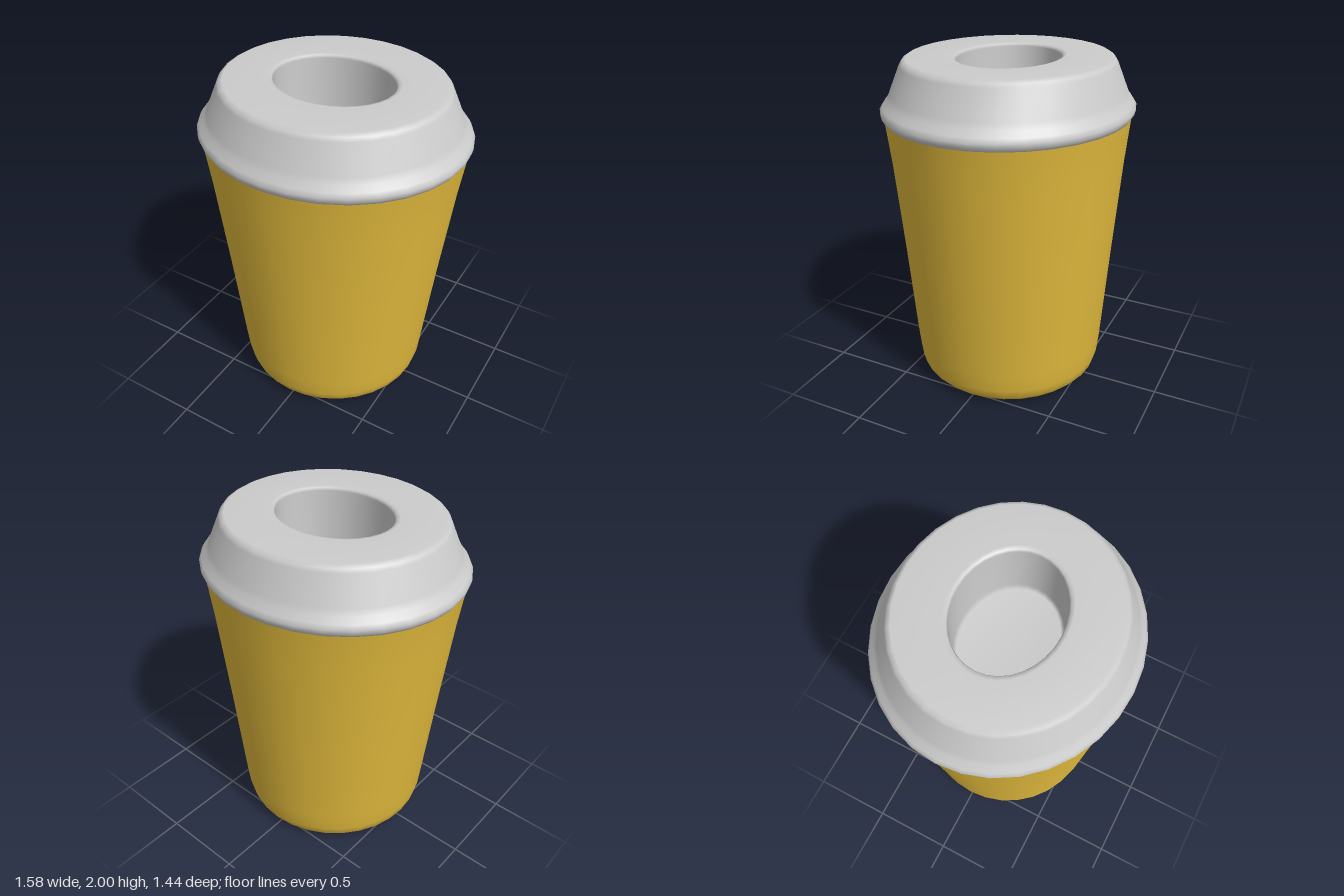
import * as THREE from 'three';

const SIDES = 32;

// Smooth skin over oval rings [radiusX, radiusZ, y], listed so the surface faces outward
function ovalLoft(name, rings, color) {
  const positions = [];
  const index = [];
  for (const [rx, rz, y] of rings) {
    for (let i = 0; i < SIDES; i++) {
      const a = (i / SIDES) * Math.PI * 2;
      positions.push(rx * Math.cos(a), y, rz * Math.sin(a));
    }
  }
  for (let r = 0; r < rings.length - 1; r++) {
    for (let i = 0; i < SIDES; i++) {
      const j = (i + 1) % SIDES;
      const a = r * SIDES + i, b = r * SIDES + j;
      const c = a + SIDES, d = b + SIDES;
      if (rings[r][0] > 0) index.push(a, c, b);
      if (rings[r + 1][0] > 0) index.push(b, c, d);
    }
  }
  const geometry = new THREE.BufferGeometry();
  geometry.setAttribute('position', new THREE.Float32BufferAttribute(positions, 3));
  geometry.setIndex(index);
  geometry.computeVertexNormals();
  const mesh = new THREE.Mesh(geometry, new THREE.MeshStandardMaterial({ color }));
  mesh.name = name;
  return mesh;
}

export function createModel() {
  const group = new THREE.Group();
  group.name = 'ovalBin';

  // Tapered body: round at the foot, oval at the mouth
  group.add(ovalLoft('body', [
    [0, 0, 0],
    [0.35, 0.35, 0],
    [0.50, 0.50, 0.01],
    [0.54, 0.535, 0.022],
    [0.57, 0.565, 0.055],
    [0.585, 0.58, 0.11],
    [0.597, 0.592, 0.22],
    [0.665, 0.635, 0.85],
    [0.732, 0.677, 1.42],
    [0.755, 0.692, 1.58],
    [0.77, 0.702, 1.68],
  ], 0xe0b93c));

  // Lid: flared rim, sloped shoulder, flat top and a deep oval opening
  group.add(ovalLoft('lid', [
    [0.70, 0.63, 1.68],
    [0.755, 0.69, 1.672],
    [0.772, 0.705, 1.675],
    [0.785, 0.716, 1.695],
    [0.79, 0.722, 1.72],
    [0.775, 0.708, 1.745],
    [0.745, 0.684, 1.775],
    [0.725, 0.668, 1.81],
    [0.657, 0.606, 1.965],
    [0.645, 0.594, 1.985],
    [0.62, 0.572, 2],
    [0.38, 0.315, 2],
    [0.358, 0.296, 1.995],
    [0.35, 0.288, 1.98],
    [0.35, 0.288, 1.63],
    [0.33, 0.27, 1.61],
    [0, 0, 1.61],
  ], 0xcccccc));

  return group;
}
